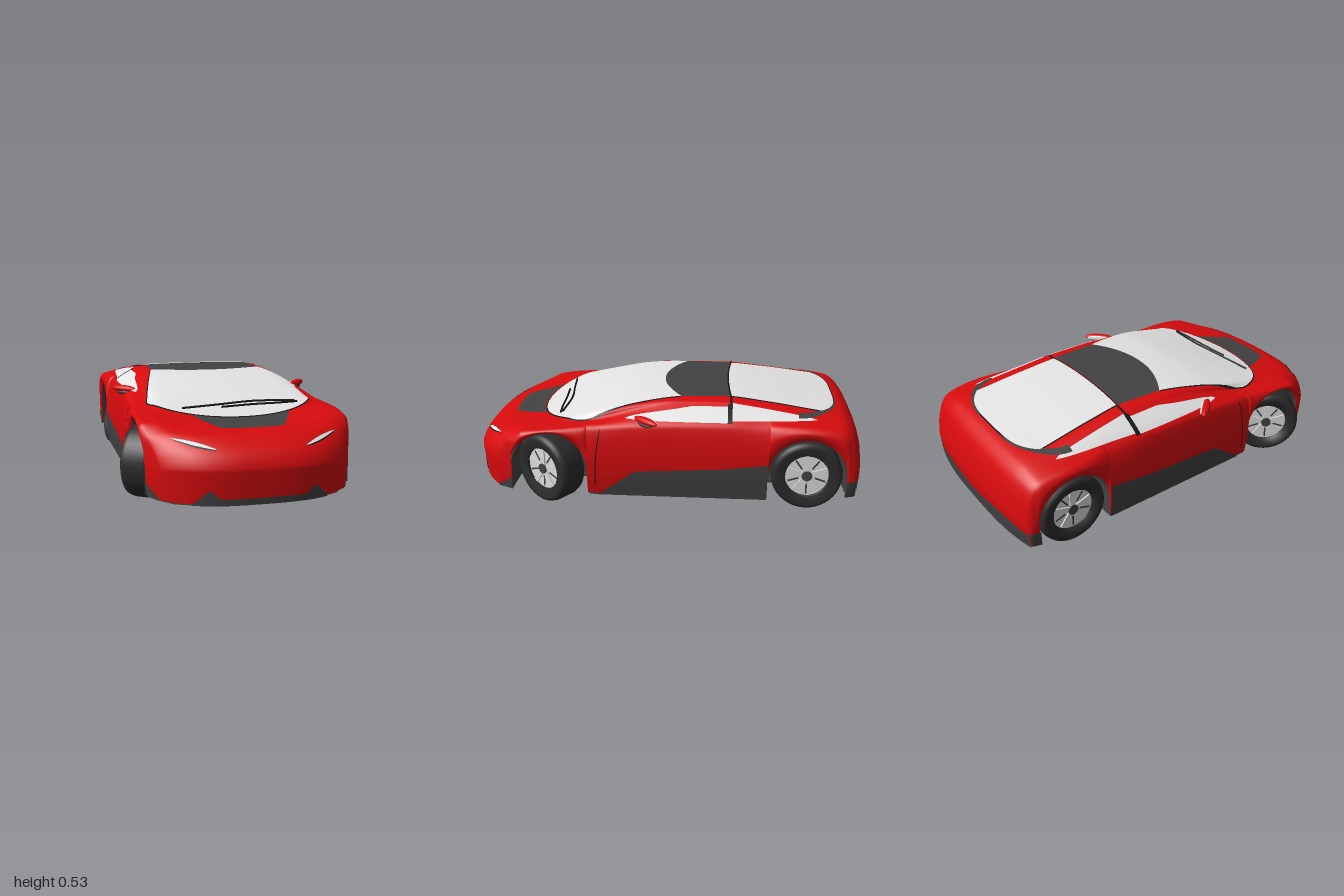
import * as THREE from 'three';

const mat = (name, color) => new THREE.MeshStandardMaterial({ name, color, side: THREE.DoubleSide });
const M = {
  paint: mat('red paint', 0xd60b0d), glass: mat('pale glass', 0xe4e4e4), trim: mat('dark trim', 0x424242),
  tyre: mat('tyre rubber', 0x2c2c2c), black: mat('black', 0x161616), rim: mat('light alloy', 0xdedede),
};
const WHEELS = [0.57, -0.71], AXLE = 0.178, ARCH = 0.193, q = Math.PI / 2, mix = THREE.MathUtils.lerp;

// Body stations: [s, halfWidth, beltX, beltY, railX, railY, roofX, centreY]
const STATIONS = [
  [-1, .478, .45, .21, .38, .215, .31, .22], [-.985, .488, .455, .29, .38, .305, .31, .31],
  [-.94, .498, .455, .385, .38, .40, .31, .41], [-.88, .503, .45, .42, .38, .437, .31, .45],
  [-.72, .503, .435, .442, .38, .458, .32, .475], [-.5, .5, .44, .446, .375, .484, .32, .505],
  [-.3, .5, .46, .444, .37, .499, .325, .523], [-.07, .5, .465, .44, .37, .497, .325, .523],
  [.14, .5, .468, .43, .385, .466, .35, .508], [.35, .5, .467, .41, .405, .42, .37, .464],
  [.5, .5, .465, .402, .41, .407, .36, .42], [.67, .5, .46, .385, .40, .388, .30, .373],
  [.85, .49, .46, .335, .39, .345, .30, .348], [.94, .465, .44, .282, .37, .295, .29, .302],
  [.98, .45, .43, .245, .36, .253, .29, .262], [1, .44, .42, .21, .36, .217, .29, .22],
];
// Smooth interpolation of the stations without overshoot
function station(s) {
  const T = STATIONS, n = T.length, i = Math.max(0, Math.min(n - 2, T.findIndex(r => r[0] >= s) - 1));
  const slope = (j, c) => (T[j + 1][c] - T[j][c]) / (T[j + 1][0] - T[j][0]);
  const tangent = (j, c) => {
    const a = slope(Math.max(0, j - 1), c), b = slope(Math.min(n - 2, j), c);
    return a * b <= 0 ? 0 : 2 * a * b / (a + b);
  };
  const h = T[i + 1][0] - T[i][0], t = (s - T[i][0]) / h, t2 = t * t, t3 = t2 * t;
  return T[i].map((v, c) => v * (2 * t3 - 3 * t2 + 1) + T[i + 1][c] * (3 * t2 - 2 * t3)
    + h * (tangent(i, c) * (t3 - 2 * t2 + t) + tangent(i + 1, c) * (t3 - t2)));
}
// Rounds the nose and tail in plan, and tucks their lower edge in
function warp(x, s, y = 0.2) {
  const c = Math.abs(x) ** 3, tuck = 0.1 * Math.max(0, 0.2 - y);
  if (s > 0.7) return s - (s - 0.7) / 0.3 * (1.75 * c + tuck);
  return s < -0.85 ? s + (-0.85 - s) / 0.15 * (0.4 * c + tuck) : s;
}
// Lower edge of the side, cut by the wheel arches
function bottom(s, w) {
  const z = warp(w, s), c = WHEELS.find(a => Math.abs(z - a) < ARCH);
  if (c !== undefined) return 0.18 + Math.sqrt(ARCH ** 2 - (z - c) ** 2);
  return s < -0.9 ? 0.08 : 0.06;
}
// Half cross-section from the sill up to the centre line
function section(s) {
  const [, w, bx, by, rx, ry, ix, h] = station(s), b = bottom(s, w), iy = mix(ry, h, 0.65);
  const pts = [[w - .012, b], [w, mix(b, by, .3)], [w, mix(b, by, .6)], [mix(w, bx, .35), mix(b, by, .88)],
    [bx, by], [rx, ry], [ix, iy], [ix / 2, mix(iy, h, .8)], [0, h]];
  return new THREE.SplineCurve(pts.map(p => new THREE.Vector2(...p))).getPoints(40);
}
function lookup(p, from, to, v) {
  const i = p.findIndex(k => k[from] >= v);
  if (i < 1) return p[i < 0 ? p.length - 1 : 0][to];
  return mix(p[i - 1][to], p[i][to], (v - p[i - 1][from]) / (p[i][from] - p[i - 1][from]));
}
const topY = (x, s) => lookup(section(s).reverse(), 'x', 'y', Math.abs(x));
const onTop = (x, s, lift) => [x, topY(x, s) + lift, warp(x, s)];
function onSide(s, y, lift) {
  const x = lookup(section(s), 'y', 'x', y);
  return [x + lift, y, warp(x, s, y)];
}
function gridGeometry(rows) {
  const m = rows[0].length, index = [];
  for (let i = 0; i < rows.length - 1; i++) for (let j = 0; j < m - 1; j++) {
    const a = i * m + j, b = a + m;
    index.push(a, b, a + 1, b, b + 1, a + 1);
  }
  const g = new THREE.BufferGeometry();
  g.setAttribute('position', new THREE.Float32BufferAttribute(rows.flat(2), 3));
  g.setIndex(index);
  g.computeVertexNormals();
  return g;
}

export function createModel() {
  const car = new THREE.Group();
  car.name = 'sportsCar';
  const add = (name, geo, material, parent = car) => {
    const mesh = new THREE.Mesh(geo, material);
    mesh.name = name;
    parent.add(mesh);
    return mesh;
  };
  // Thin panel from a rule f(u, v), optionally mirrored
  const patch = (name, material, f, nu = 28, nv = 14, mirror = false) => {
    for (const m of mirror ? [1, -1] : [1])
      add(name, gridGeometry(Array.from({ length: nu + 1 }, (_, i) => Array.from({ length: nv + 1 }, (_, j) => {
        const [x, y, z] = f(i / nu, j / nv);
        return [x * m, y, z];
      }))), material);
  };
  const sidePanel = (name, material, s0, s1, lo, hi) => patch(name, material, (u, v) => {
    const s = mix(s0, s1, u);
    return onSide(s, mix(lo(s), hi(s), v), .005);
  }, 30, 8, true);
  const topPanel = (name, material, from, to, lift) => patch(name, material, (u, v) => {
    const a = from(2 * u - 1), b = to(2 * u - 1);
    return onTop(mix(a[0], b[0], v), mix(a[1], b[1], v), lift);
  }, 32, 20);

  // Body shell, closed by the nose and tail faces
  const stops = Array.from({ length: 161 }, (_, i) => -1 + i / 80);
  for (const e of [WHEELS[0] - ARCH, WHEELS[1] + ARCH]) stops.push(e - .0005, e + .0005);
  stops.sort((a, b) => a - b);
  const row = (s, f = 1) => {
    const p = section(s), half = p.map(k => {
      const y = mix(p[0].y, k.y, f);
      return [k.x, y, warp(k.x, s, y)];
    });
    return [...half.map(([x, y, z]) => [-x, y, z]), ...half.slice(0, -1).reverse()];
  };
  const face = [0, .3, .6, .9];
  add('bodyShell', gridGeometry([...face.map(f => row(-1, f)), ...stops.map(s => row(s)),
    ...face.reverse().map(f => row(1, f))]), M.paint);

  // Windscreen, roof panel, rear window and bonnet panel
  const screenLow = g => u => [(.41 + g) * Math.sin(u * q), .4 + (.26 + g) * Math.cos(u * q)];
  const screenTop = g => u => [(.305 + g) * u, .02 - .1 * u * u];
  const roofBack = u => [.295 * u, -.31 - .015 * u * u];
  const rearEdge = g => u => [(.32 + g) * u, -.86 - g + .08 * u ** 4];
  topPanel('windscreenSeal', M.black, screenLow(.006), screenTop(.005), .003);
  topPanel('windscreen', M.glass, screenLow(0), screenTop(0), .006);
  topPanel('roofPanel', M.trim, screenTop(0), roofBack, .006);
  topPanel('rearWindowSeal', M.black, roofBack, rearEdge(.006), .003);
  topPanel('rearWindow', M.glass, u => [.29 * u, -.318 - .015 * u * u], rearEdge(0), .006);
  topPanel('bonnetPanel', M.trim, u => [.24 * u, .4 + .27 * Math.sqrt(1 - (.24 * u / .41) ** 2)],
    u => [.15 * u, .82 - .012 * u * u], .005);
  patch('rearVent', M.trim, (u, v) => onTop(.1 + (.27 + .04 * v) * Math.cos(u * 1.5),
    -.66 - (.18 + .03 * v) * Math.sin(u * 1.5), .004), 24, 4, true);
  patch('roofSeam', M.black, (u, v) => onTop(.29 + .09 * u, -.325 - .012 * v, .004), 10, 1, true);

  // Side windows, pillar, door seam and skirt
  const along = (s, a, b, p) => Math.abs((s - a) / (b - a)) ** p;
  sidePanel('doorWindow', M.glass, .19, -.315, () => .443, s => .443 + .054 * Math.min(1, along(s, .19, -.15, .75)));
  sidePanel('doorPillar', M.black, -.315, -.338, () => .44, () => .506);
  sidePanel('quarterWindow', M.glass, -.338, -.75, () => .449, s => .449 + .06 * along(s, -.75, -.338, .85));
  patch('doorSeam', M.black, (u, v) => onSide(.335 - .03 * u * u + .005 * v, .1 + .3 * u, .002), 16, 1, true);
  sidePanel('sideSkirt', M.trim, .32, -.515, () => .052, s => s > .14 ? .055 + .135 * (.32 - s) / .18
    : s > -.29 ? .19 + .025 * (.14 - s) / .43 : .215 + .03 * (-.29 - s) / .23);

  // Headlights and bumper trim
  const slit = (half, lift) => (u, v) =>
    onTop(.205 + .175 * u, .955 - .06 * u + half * (2 * v - 1) * Math.sin(Math.PI * (.05 + .9 * u)), lift);
  patch('headlightSurround', M.black, slit(.015, .003), 20, 6, true);
  patch('headlight', M.glass, slit(.01, .006), 20, 6, true);
  patch('frontGrille', M.trim, (u, v) => {
    const x = .31 * (2 * u - 1), a = Math.abs(x), peak = .125 - Math.abs(a - .24) * .9;
    const y = mix(.055, a < .24 ? Math.max(.085, peak) : peak, v);
    return [x, y, warp(x, 1, y) + .004];
  }, 62, 4);
  sidePanel('frontCornerTrim', M.trim, .89, 1, () => .058, s => .13 - .06 * (s - .89) / .11);
  sidePanel('rearCornerTrim', M.trim, -.925, -1, () => .08, () => .165);
  patch('rearBumperTrim', M.trim, (u, v) => {
    const x = .48 * (2 * u - 1), y = .078 + .087 * v - .012 * v * Math.cos(x * 12);
    return [x, y, warp(x, -1, y) - .004];
  }, 40, 4);

  // Floor pan with wheel cut-outs
  const plan = [[0, .975], [.25, .945], [.38, .88], [.44, .8], [.28, .77], [.28, .37], [.485, .37], [.485, -.515],
    [.29, -.515], [.29, -.9], [.47, -.91], [.46, -.94], [0, -.98]];
  const outline = [...plan, ...plan.slice(1, -1).reverse().map(([x, z]) => [-x, z])];
  const floor = new THREE.ExtrudeGeometry(new THREE.Shape(outline.map(p => new THREE.Vector2(...p))),
    { depth: .014, bevelEnabled: false }).rotateX(q).translate(0, .064, 0);
  const fp = floor.attributes.position;
  for (let i = 0; i < fp.count; i++) if (fp.getZ(i) < -.85) fp.setY(i, fp.getY(i) + .022);
  floor.computeVertexNormals();
  add('floorPan', floor, M.trim);

  // Wheels, arch liners, axles and calipers
  const tyreProfile = [[.108, -.062], [.15, -.075], [.168, -.066], [.175, -.045], [.175, .045], [.168, .066],
    [.15, .075], [.108, .062], [.106, .03], [.106, -.06]].map(p => new THREE.Vector2(...p));
  for (const side of [1, -1]) WHEELS.forEach((z, k) => {
    const wheel = new THREE.Group();
    wheel.name = k ? 'rearWheel' : 'frontWheel';
    wheel.position.set(side * (k ? .412 : .43), AXLE, z);
    wheel.rotation.y = k ? 0 : -.61;
    car.add(wheel);
    const disc = (name, r, depth, x, m) =>
      add(name, new THREE.CylinderGeometry(r, r, depth, 32).rotateZ(q).translate(side * x, 0, 0), m, wheel);
    const radial = (name, size, x, r, turn, m) =>
      add(name, new THREE.BoxGeometry(...size).translate(side * x, r, 0).rotateX(turn * Math.PI * .4), m, wheel);
    add('tyre', new THREE.LatheGeometry(tyreProfile, 40).rotateZ(q), M.tyre, wheel);
    disc('rimDisc', .107, .03, .035, M.rim);
    for (let i = 0; i < 5; i++) {
      radial('spoke', [.01, .08, .026], .052, .062, i, M.rim);
      radial('rimSlot', [.004, .055, .008], .05, .07, i + .5, M.trim);
    }
    disc('hub', .026, .02, .052, M.trim);
    radial('caliper', [.04, .07, .035], -.025, .08, 1.25, M.paint);

    const arch = [[z - ARCH, .065 + .02 * k], ...Array.from({ length: 25 }, (_, i) =>
      [z - ARCH * Math.cos(i * Math.PI / 24), .18 + ARCH * Math.sin(i * Math.PI / 24)]), [z + ARCH, .065]];
    add('archLiner', gridGeometry([.27, .485].map(x => arch.map(([a, y]) => [side * x, y, a]))), M.trim);
    add('archWall', new THREE.ShapeGeometry(new THREE.Shape(arch.map(([a, y]) => new THREE.Vector2(-a, y))))
      .rotateY(q).translate(side * .27, 0, 0), M.trim);
    add('axle', new THREE.CylinderGeometry(.022, .022, .2, 12).rotateZ(q).translate(side * .32, .15, z), M.trim);
  });

  // Door mirrors: red shell, dark stalk and pale glass facing back
  for (const side of [1, -1]) {
    const mirror = new THREE.Group();
    mirror.name = 'doorMirror';
    mirror.position.set(side * .478, .447, .082);
    mirror.rotation.y = side * .83;
    car.add(mirror);
    const lobe = (name, size, at, m) => add(name, new THREE.SphereGeometry(1, 24, 14).scale(...size).translate(...at), m, mirror);
    lobe('mirrorShell', [.08, .018, .022], [0, 0, 0], M.paint);
    lobe('mirrorStalk', [.06, .013, .02], [side * -.015, -.018, 0], M.trim);
    lobe('mirrorGlass', [.066, .014, .008], [0, 0, -.017], M.glass);
  }
  // Wipers
  for (const path of [[[-.27, .56], [-.1, .54], [.1, .515], [.3, .525]], [[-.08, .565], [.08, .55], [.2, .545], [.31, .535]]]) {
    const pts = path.map(([x, s]) => new THREE.Vector3(...onTop(x, s, .012)));
    add('wiper', new THREE.TubeGeometry(new THREE.CatmullRomCurve3(pts), 20, .005, 6), M.black);
  }
  return car;
}
